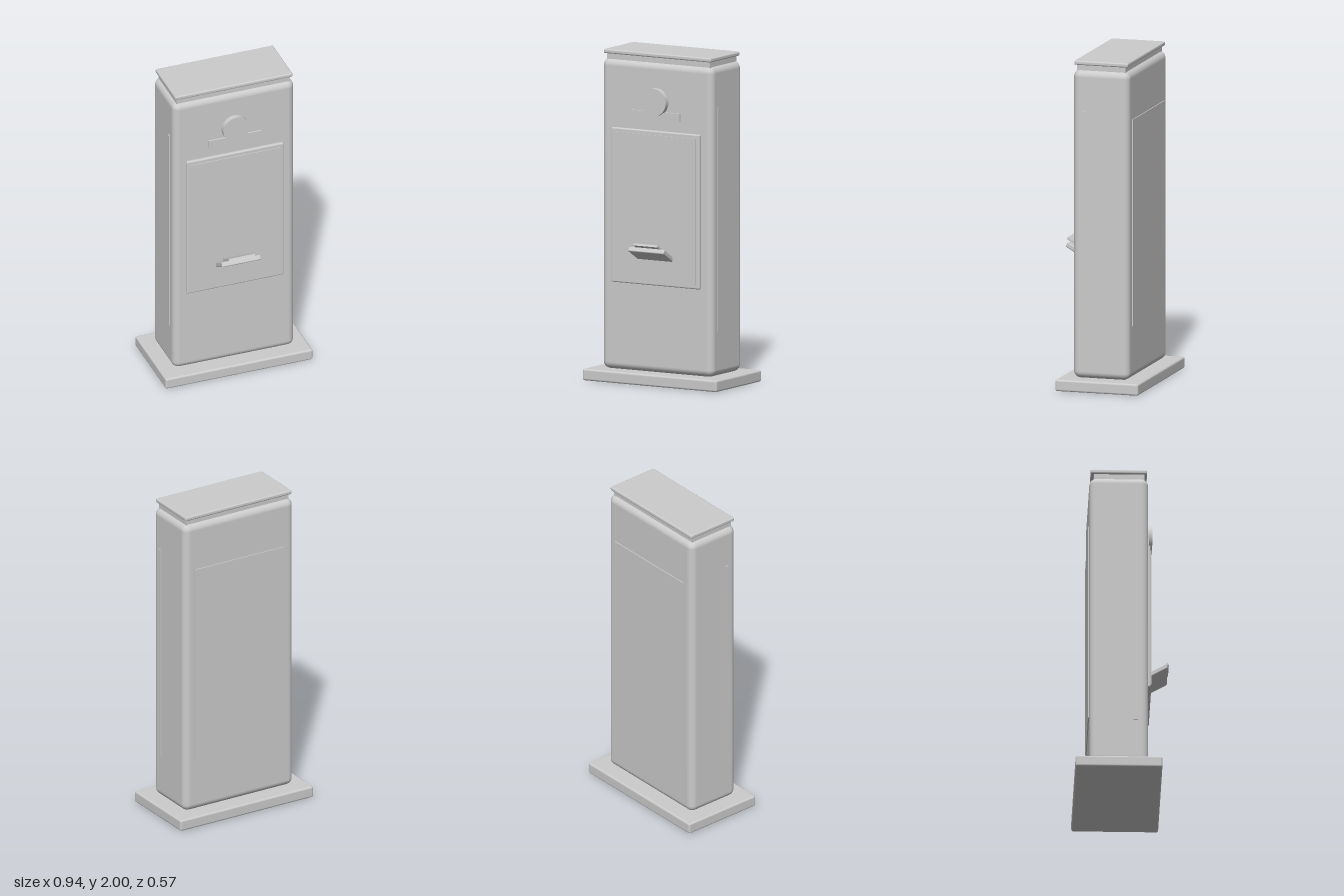
import * as THREE from 'three';
import { RoundedBoxGeometry } from 'three/addons/geometries/RoundedBoxGeometry.js';

export function createModel() {
  const model = new THREE.Group();
  model.name = 'kiosk';
  const casing = new THREE.MeshStandardMaterial({ color: 0xcccccc });
  casing.name = 'light grey casing';

  const add = (name, geometry, parent = model) => {
    const mesh = new THREE.Mesh(geometry, casing);
    mesh.name = name;
    parent.add(mesh);
    return mesh;
  };

  // Box given by its extents on each axis; a radius rounds its edges
  const box = (name, [x0, x1], [y0, y1], [z0, z1], radius = 0, segments = 2, parent = model) => {
    const size = [x1 - x0, y1 - y0, z1 - z0];
    const geometry = radius
      ? new RoundedBoxGeometry(...size, segments, radius)
      : new THREE.BoxGeometry(...size);
    const mesh = add(name, geometry, parent);
    mesh.position.set((x0 + x1) / 2, (y0 + y1) / 2, (z0 + z1) / 2);
    return mesh;
  };

  // Floor plate, cabinet and top
  box('basePlate', [-0.47, 0.47], [0, 0.07], [-0.28, 0.24], 0.012);
  box('cabinet', [-0.387, 0.387], [0.07, 1.945], [-0.195, 0.157], 0.042, 6);
  box('neck', [-0.362, 0.362], [1.92, 1.98], [-0.168, 0.135]);
  box('cap', [-0.376, 0.376], [1.974, 2], [-0.187, 0.151], 0.009);

  // Front door with its raised face
  box('frontDoor', [-0.31, 0.31], [0.6, 1.535], [0.14, 0.174], 0.009);
  box('doorFace', [-0.288, 0.288], [0.625, 1.51], [0.17, 0.179]);

  // Round badge above a short bar
  box('badgeBar', [-0.167, 0.167], [1.603, 1.65], [0.14, 0.168]);
  const badge = add('badgeDisc', new THREE.CylinderGeometry(0.083, 0.083, 0.05, 48));
  badge.rotation.x = Math.PI / 2;
  badge.position.set(0, 1.709, 0.165);

  // Tilted tray with a thin plate on top, sloping up and out of the door
  const tray = new THREE.Group();
  tray.name = 'tray';
  tray.position.set(0, 0.828, 0.277);
  tray.rotation.x = -Math.PI / 6;
  model.add(tray);
  box('trayBody', [-0.125, 0.125], [-0.015, 0.015], [-0.15, 0], 0.007, 2, tray);
  box('trayPlate', [-0.083, 0.083], [0.0155, 0.029], [-0.13, 0.022], 0, 2, tray);

  // Long strips on both sides
  for (const side of [-1, 1]) {
    const strip = box(side > 0 ? 'leftStrip' : 'rightStrip',
      [-0.01, 0.01], [0.345, 1.695], [0.068, 0.094]);
    strip.position.x = side * 0.383;
  }

  // Service panel on the back
  box('backPanel', [-0.318, 0.318], [0.39, 1.65], [-0.201, -0.18]);

  return model;
}
